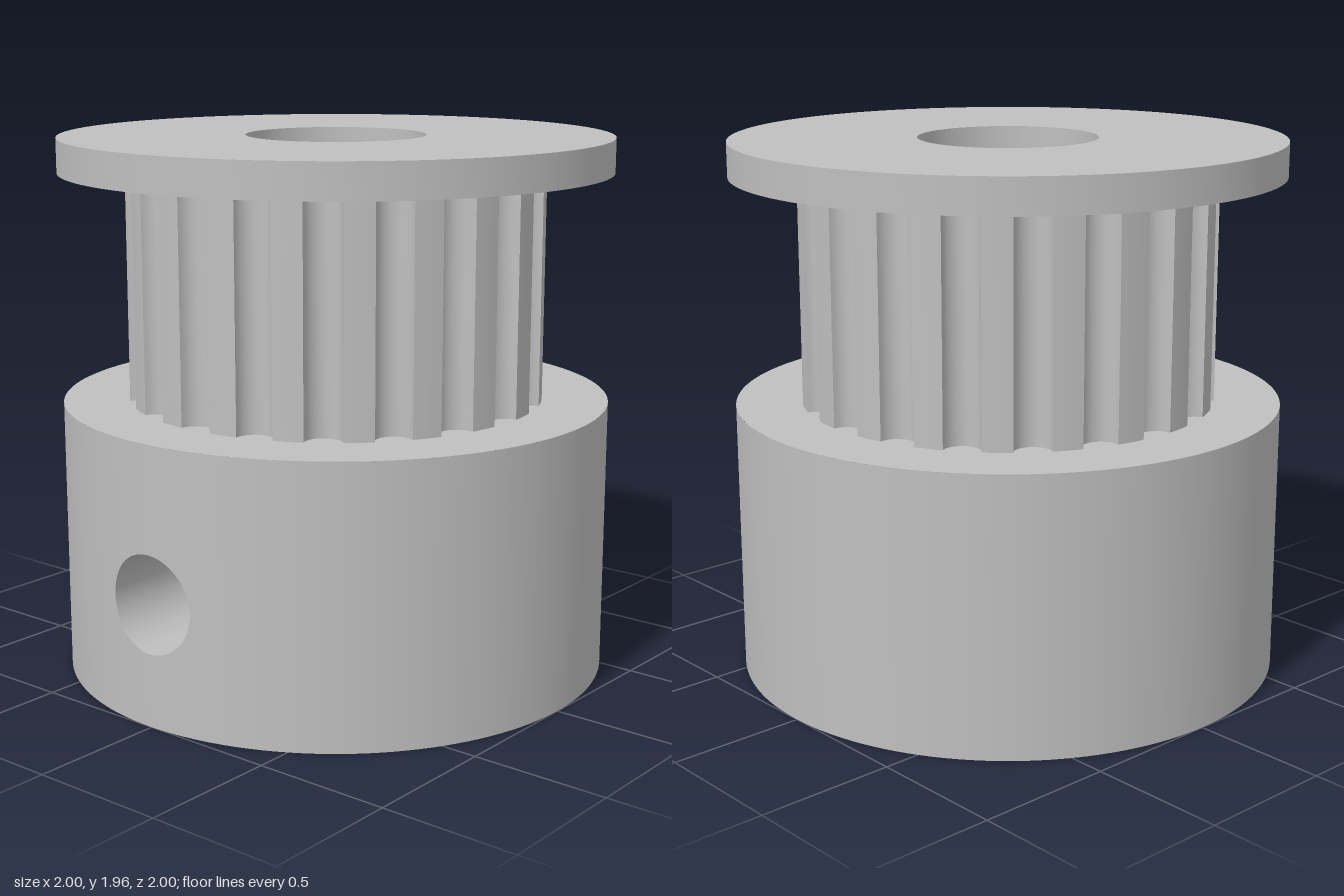
import * as THREE from 'three';
import { toCreasedNormals } from 'three/addons/utils/BufferGeometryUtils.js';

const R = 1, BORE = 0.325;            // outer and bore radii
const HUB = 1, TOP = 1.955, FLANGE = 1.83;
const TOOTH_R = 0.76, GROOVE = 0.066, TEETH = 20;
const HOLE_Y = 0.44, HOLE_R = 0.176;  // set-screw hole
const SEG = 128;

// Surface from a grid of points; it faces along (i direction) x (j direction)
function grid(ni, nj, point, normal) {
  const pos = [], nor = [], idx = [];
  for (let i = 0; i <= ni; i++) for (let j = 0; j <= nj; j++) {
    const p = point(i, j);
    pos.push(...p);
    if (normal) nor.push(...normal(p));
    if (i < ni && j < nj) {
      const a = i * (nj + 1) + j, b = a + nj + 1;
      idx.push(a, b, a + 1, b, b + 1, a + 1);
    }
  }
  const g = new THREE.BufferGeometry();
  g.setAttribute('position', new THREE.Float32BufferAttribute(pos, 3));
  g.setIndex(idx);
  if (!normal) return toCreasedNormals(g, 0.5);
  g.setAttribute('normal', new THREE.Float32BufferAttribute(nor, 3));
  return g;
}

// Revolved profile, optionally leaving a gap of +-gap radians at the front
function revolve(points, gap = 0) {
  const g = new THREE.LatheGeometry(points.map(p => new THREE.Vector2(...p)), SEG, gap, Math.PI * 2 - 2 * gap);
  return points.length > 2 ? toCreasedNormals(g, 0.5) : g;
}

// Front strip of a cylinder wall, |x| <= half, pierced by the screw hole
function piercedWall(radius, half, inward) {
  const angles = [];
  for (let k = 0; k < 64; k++) angles.push((k / 64) * Math.PI * 2);
  for (const x of [-half, half]) for (const y of [-HOLE_Y, HUB - HOLE_Y])
    angles.push((Math.atan2(y, x) + Math.PI * 2) % (Math.PI * 2));
  angles.sort((a, b) => a - b);
  angles.push(Math.PI * 2);
  const rings = 12;
  const point = (ring, k) => {
    const c = Math.cos(angles[k]), s = Math.sin(angles[k]);
    const edge = Math.min(half / Math.max(Math.abs(c), 1e-9),
      (s > 0 ? HUB - HOLE_Y : HOLE_Y) / Math.max(Math.abs(s), 1e-9));
    const d = HOLE_R + (edge - HOLE_R) * ring / rings;
    const x = d * c;
    return [x, HOLE_Y + d * s, Math.sqrt(radius * radius - x * x)];
  };
  const sign = inward ? -1 : 1;
  const normal = p => [sign * p[0] / radius, 0, sign * p[2] / radius];
  const n = angles.length - 1;
  return inward ? grid(n, rings, (i, j) => point(j, i), normal) : grid(rings, n, point, normal);
}

// Toothed outline: round grooves with curved lands between them
function toothOutline() {
  const pts = [], pitch = Math.PI * 2 / TEETH;
  const end = Math.acos(GROOVE / (2 * TOOTH_R));
  const halfGroove = 2 * Math.asin(GROOVE / (2 * TOOTH_R));
  for (let t = 0; t < TEETH; t++) {
    const a = t * pitch;
    for (let k = 0; k <= 12; k++) {
      const s = end * (k / 6 - 1);
      const rad = TOOTH_R - GROOVE * Math.cos(s), tan = GROOVE * Math.sin(s);
      pts.push([rad * Math.sin(a) + tan * Math.cos(a), rad * Math.cos(a) - tan * Math.sin(a)]);
    }
    for (let k = 1; k < 4; k++) {
      const b = a + halfGroove + (pitch - 2 * halfGroove) * k / 4;
      pts.push([TOOTH_R * Math.sin(b), TOOTH_R * Math.cos(b)]);
    }
  }
  pts.push(pts[0]);
  return pts;
}

export function createModel() {
  const metal = new THREE.MeshStandardMaterial({ color: 0xbfbfbf });
  metal.name = 'grey metal';
  const model = new THREE.Group();
  model.name = 'timingPulley';
  const add = (parent, name, geometry) => {
    const mesh = new THREE.Mesh(geometry, metal);
    mesh.name = name;
    parent.add(mesh);
  };

  // Hub with its set-screw hole
  const hub = new THREE.Group();
  hub.name = 'hub';
  model.add(hub);
  const outerHalf = 0.3, boreHalf = 0.25;
  add(hub, 'hubBottom', revolve([[BORE, 0], [R, 0]]));
  add(hub, 'hubTop', revolve([[R, HUB], [0.6, HUB]]));
  add(hub, 'hubWall', revolve([[R, 0], [R, HUB]], Math.asin(outerHalf / R)));
  add(hub, 'hubFrontWall', piercedWall(R, outerHalf, false));
  add(hub, 'hubBore', revolve([[BORE, HUB], [BORE, 0]], Math.asin(boreHalf / BORE)));
  add(hub, 'hubFrontBore', piercedWall(BORE, boreHalf, true));
  add(hub, 'screwHole', grid(64, 1, (i, j) => {
    const a = i / 64 * Math.PI * 2, x = HOLE_R * Math.cos(a), rad = j ? BORE : R;
    return [x, HOLE_Y + HOLE_R * Math.sin(a), Math.sqrt(rad * rad - x * x)];
  }));

  // Toothed belt drum
  const outline = toothOutline();
  add(model, 'toothedDrum', grid(outline.length - 1, 1,
    (i, j) => [outline[i][0], j ? FLANGE : HUB, outline[i][1]]));

  // Top flange and the bore through drum and flange
  add(model, 'topFlange', revolve([[0.6, FLANGE], [R, FLANGE], [R, TOP], [BORE, TOP]]));
  add(model, 'upperBore', revolve([[BORE, TOP], [BORE, HUB]]));
  return model;
}
